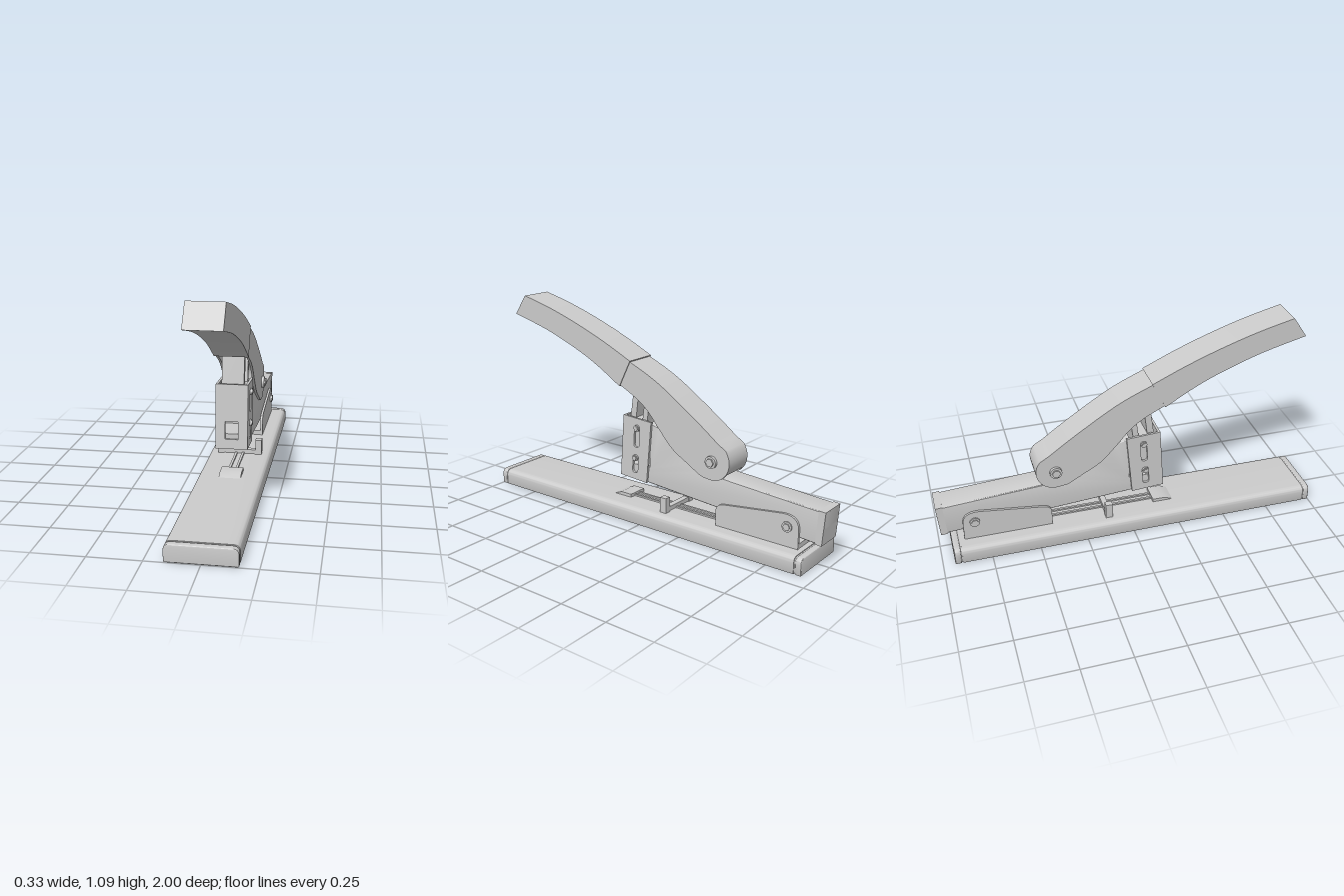
import * as THREE from 'three';
import { toCreasedNormals } from 'three/addons/utils/BufferGeometryUtils.js';

const grey = new THREE.MeshStandardMaterial({ color: 0xcccccc, side: THREE.DoubleSide });
const vec = (pts) => pts.map(([a, b]) => new THREE.Vector2(a, b));
const curve = (pts, n = 16) => new THREE.SplineCurve(vec(pts)).getPoints(n);

function add(parent, name, geo) {
  const mesh = new THREE.Mesh(toCreasedNormals(geo, 0.5), grey);
  mesh.name = name;
  parent.add(mesh);
  return mesh;
}

function box(parent, name, w, h, d, x, y, z) {
  return add(parent, name, new THREE.BoxGeometry(w, h, d).translate(x, y, z));
}

// Side profile in (z, y), extruded across x and centred on x = cx
function side(shape, width, cx = 0, bevel = 0) {
  const depth = width - 2 * bevel;
  const geo = new THREE.ExtrudeGeometry(shape, {
    depth, curveSegments: 10, bevelEnabled: bevel > 0, bevelSize: bevel,
    bevelOffset: -bevel, bevelThickness: bevel, bevelSegments: 3,
  });
  return geo.translate(0, 0, -depth / 2).rotateY(-Math.PI / 2).translate(cx, 0, 0);
}

function roundRect(shape, x0, y0, x1, y1, rb, rt) {
  shape.moveTo(x0 + rb, y0);
  shape.lineTo(x1 - rb, y0);
  shape.quadraticCurveTo(x1, y0, x1, y0 + rb);
  shape.lineTo(x1, y1 - rt);
  shape.quadraticCurveTo(x1, y1, x1 - rt, y1);
  shape.lineTo(x0 + rt, y1);
  shape.quadraticCurveTo(x0, y1, x0, y1 - rt);
  shape.lineTo(x0, y0 + rb);
  shape.quadraticCurveTo(x0, y0, x0 + rb, y0);
  return shape;
}

// Mirrored pair of bolt heads: a washer and a narrower hexagonal cap
function bolts(parent, name, y, z, r, x0, x1) {
  for (const s of [-1, 1]) {
    const mid = x0 + (x1 - x0) * 0.65;
    for (const [rad, a, b, n] of [[r, x0 - 0.02, mid, 24], [r * 0.7, mid, x1, 6]]) {
      const geo = new THREE.CylinderGeometry(rad, rad, b - a, n).rotateZ(Math.PI / 2);
      add(parent, name, geo.translate(s * (a + b) / 2, y, z));
    }
  }
}

function buildBase(root) {
  const slab = (name, inset, z0, z1, bevel) => {
    const shape = roundRect(new THREE.Shape(), -0.163 + inset, inset, 0.163 - inset, 0.085 - inset, 0.006, 0.03);
    const depth = z1 - z0 - 2 * bevel;
    add(root, name, new THREE.ExtrudeGeometry(shape, {
      depth, curveSegments: 8, bevelEnabled: bevel > 0, bevelSize: bevel,
      bevelOffset: -bevel, bevelThickness: bevel, bevelSegments: 3,
    }).translate(0, 0, z0 + bevel));
  };
  slab('base', 0, -0.9, 0.96, 0);
  slab('baseGroove', 0.004, -0.91, 0.97, 0);
  slab('frontEndCap', 0, 0.966, 1.0, 0.006);
  slab('rearEndCap', 0, -0.94, -0.906, 0.006);

  // Anvil wedge and the paper guide sliding behind it
  const wedge = new THREE.Shape(vec([[0.245, 0.084], [0.2, 0.102], [0.135, 0.102], [0.135, 0.084]]));
  add(root, 'anvil', side(wedge, 0.11));
  for (const s of [-1, 1]) {
    box(root, 'guideRail', 0.012, 0.01, 0.56, s * 0.018, 0.088, -0.14);
    box(root, 'guideStop', 0.033, 0.08, 0.037, s * 0.1, 0.125, -0.123);
  }
  box(root, 'guideBar', 0.2, 0.022, 0.03, 0, 0.098, -0.123);

  // Hinge bracket: floor plate and two cheeks
  box(root, 'bracketFloor', 0.16, 0.024, 0.45, 0, 0.097, -0.648);
  const cheek = new THREE.Shape();
  cheek.moveTo(-0.42, 0.085);
  cheek.lineTo(-0.42, 0.17);
  cheek.quadraticCurveTo(-0.425, 0.197, -0.46, 0.203);
  cheek.lineTo(-0.79, 0.245);
  cheek.quadraticCurveTo(-0.875, 0.25, -0.875, 0.18);
  cheek.lineTo(-0.875, 0.085);
  for (const s of [-1, 1]) add(root, 'bracketCheek', side(cheek, 0.012, s * 0.077));
  bolts(root, 'rearPivot', 0.185, -0.815, 0.026, 0.08, 0.095);
}

function buildBody(root) {
  // Magazine rising towards the head, hidden edge tucked under the handle
  const magazine = new THREE.Shape([
    ...vec([[0.165, 0.214], [0.165, 0.29], [0.0, 0.29], [0.0, 0.525], [-0.07, 0.51]]),
    ...curve([[-0.12, 0.5], [-0.2, 0.45], [-0.3, 0.37], [-0.44, 0.332]]),
    ...vec([[-1.0, 0.294], [-0.987, 0.13]]),
  ]);
  add(root, 'magazine', side(magazine, 0.138, 0, 0.008));
  const cap = new THREE.Shape(vec([[-0.965, 0.298], [-1.0, 0.296], [-0.987, 0.128], [-0.953, 0.131]]));
  add(root, 'magazineEndCap', side(cap, 0.142));
}

function buildHead(root) {
  const head = new THREE.Group();
  head.name = 'head';
  head.position.set(0, 0.215, 0.18);
  head.rotation.x = -0.066;
  root.add(head);

  // Front plate with a window
  const front = new THREE.Shape(vec([[-0.081, 0], [0.081, 0], [0.081, 0.331], [-0.081, 0.331]]));
  front.holes.push(new THREE.Path(vec([[-0.033, 0.05], [-0.033, 0.142], [0.033, 0.142], [0.033, 0.05]])));
  add(head, 'headFront', new THREE.ExtrudeGeometry(front, { depth: 0.012, bevelEnabled: false }).translate(0, 0, -0.012));

  // Slotted side plates
  const plate = new THREE.Shape(vec([[-0.01, 0], [-0.01, 0.331], [-0.178, 0.331], [-0.17, 0]]));
  for (const [y0, y1] of [[0.035, 0.135], [0.175, 0.295]]) {
    plate.holes.push(roundRect(new THREE.Path(), -0.109, y0, -0.075, y1, 0.016, 0.016));
  }
  for (const s of [-1, 1]) add(head, 'headSide', side(plate, 0.012, s * 0.075));
  box(head, 'innerBlock', 0.13, 0.18, 0.1, 0, 0.235, -0.09);
  bolts(head, 'headScrew', 0.118, -0.092, 0.017, 0.08, 0.094);
  bolts(head, 'headScrew', 0.28, -0.092, 0.017, 0.08, 0.094);

  // Driver posts running up into the handle
  const driver = new THREE.Shape(vec([[0.135, 0.5], [0.1, 0.76], [0.066, 0.76], [0.1, 0.5]]));
  add(root, 'driver', side(driver, 0.112));
  const link = new THREE.Shape(vec([[0.053, 0.5], [0.025, 0.7], [-0.005, 0.7], [0.023, 0.5]]));
  add(root, 'driverLink', side(link, 0.126));
}

function buildHandle(root) {
  // Grip: solid curved bar
  const grip = new THREE.Shape([
    ...curve([[0.18, 0.692], [0.32, 0.775], [0.46, 0.842], [0.676, 0.922], [0.91, 0.984]]),
    ...curve([[0.837, 1.09], [0.65, 1.042], [0.46, 0.98], [0.28, 0.91], [0.11, 0.833]]),
  ]);
  add(root, 'grip', side(grip, 0.172));

  // Lever: channel of two cheeks and a strap over the top and round the end
  const top = curve([[0.2, 0.86], [0.11, 0.826], [-0.07, 0.742], [-0.286, 0.603], [-0.42, 0.507]], 20);
  const end = [];
  for (let i = 1; i <= 14; i++) {
    const a = 0.95 + (i / 14) * 2.25;
    end.push(new THREE.Vector2(-0.385 - 0.105 * Math.sin(a - 0.2), 0.414 + 0.104 * Math.cos(a - 0.2)));
  }
  const under = curve([[-0.34, 0.317], [-0.313, 0.328], [-0.24, 0.37], [-0.152, 0.424],
    [-0.07, 0.51], [0.0, 0.59], [0.08, 0.648], [0.2, 0.708]], 24);
  const cheek = new THREE.Shape([...top, ...end, ...under]);
  for (const s of [-1, 1]) add(root, 'leverCheek', side(cheek, 0.012, s * 0.0755));

  const outer = [...top, ...end.slice(0, 9)];
  const inner = outer.map((p, i) => {
    const a = outer[Math.max(i - 1, 0)], b = outer[Math.min(i + 1, outer.length - 1)];
    const t = b.clone().sub(a).normalize();
    return new THREE.Vector2(p.x - t.y * 0.014, p.y + t.x * 0.014);
  });
  add(root, 'leverStrap', side(new THREE.Shape([...outer, ...inner.reverse()]), 0.16));
  bolts(root, 'leverPivot', 0.407, -0.39, 0.031, 0.082, 0.104);
}

export function createModel() {
  const root = new THREE.Group();
  root.name = 'stapler';
  buildBase(root);
  buildBody(root);
  buildHead(root);
  buildHandle(root);
  return root;
}
